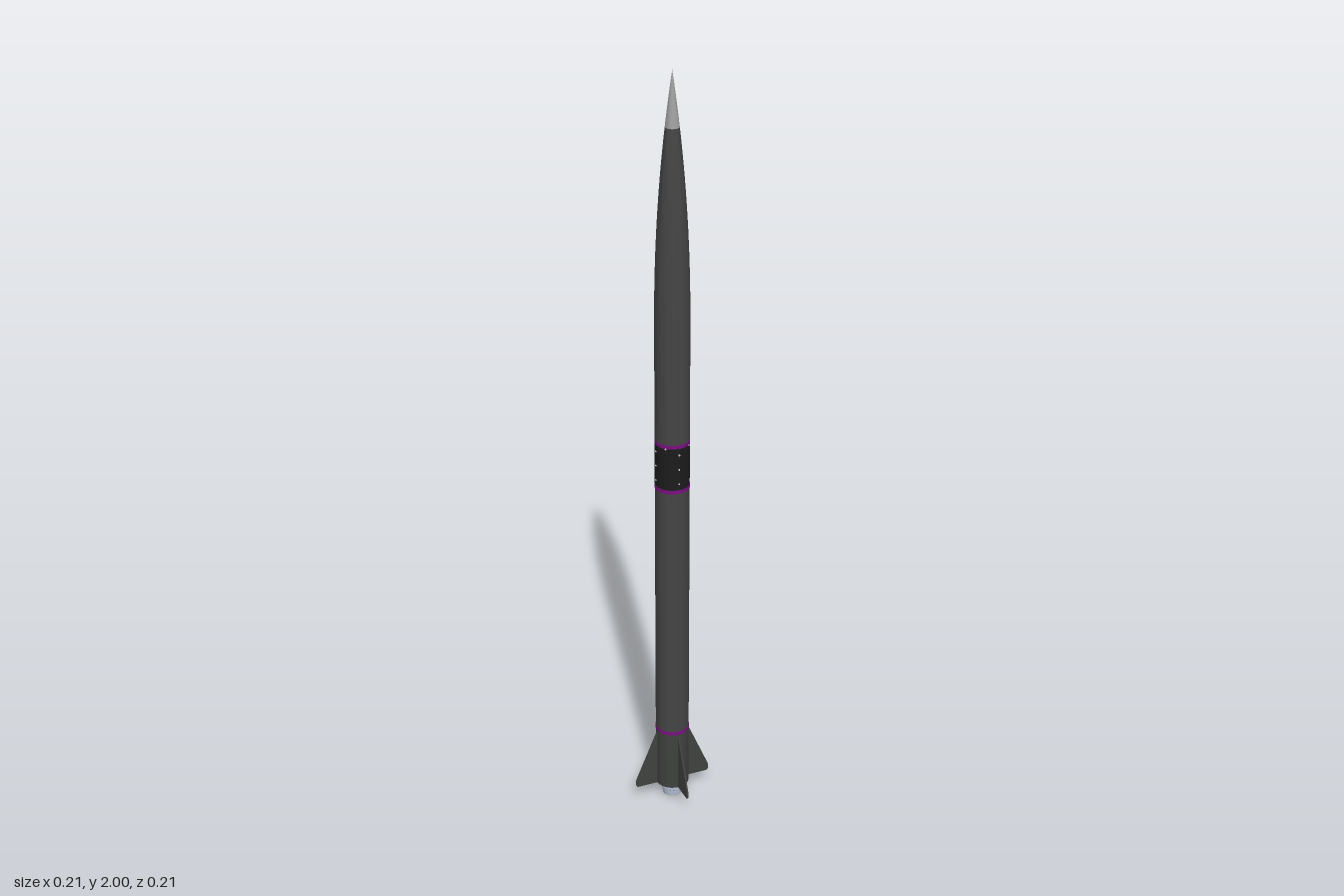
import * as THREE from 'three';
import { toCreasedNormals } from 'three/addons/utils/BufferGeometryUtils.js';

const R = 0.044;          // airframe radius
const NOSE_BASE = 1.36;   // where the nose starts to taper
const TIP_BASE = 1.865;   // where the metal tip starts

const paint = (color) => new THREE.MeshStandardMaterial({ color });

export function createModel() {
  const model = new THREE.Group();
  const mats = {
    airframe: paint(0x454545),
    band: paint(0x1c1c1c),
    fin: paint(0x404240),
    ring: paint(0x7a1080),
    metal: paint(0xa0a0a0),
    nozzle: paint(0xb8c0d4),
    screw: paint(0xcccccc),
  };

  const add = (name, geometry, material, parent = model) => {
    const mesh = new THREE.Mesh(geometry, material);
    mesh.name = name;
    parent.add(mesh);
    return mesh;
  };

  // Turned part from [radius, y] pairs listed bottom to top on the outside
  const turned = (name, profile, material) => {
    const points = profile.map(([r, y]) => new THREE.Vector2(r, y));
    return add(name, toCreasedNormals(new THREE.LatheGeometry(points, 48), 0.5), material);
  };

  // Ogive radius at a given height
  const noseRadius = (y) => {
    const t = (y - NOSE_BASE) / (2 - NOSE_BASE);
    return R * (1 - Math.pow(t, 2.15));
  };
  const nosePoints = (from, to, steps) =>
    Array.from({ length: steps + 1 }, (_, i) => {
      const y = from + ((to - from) * i) / steps;
      return [Math.max(0, noseRadius(y)), y];
    });

  // Airframe tubes, nose cone and tip
  turned('finCan', [[0, 0.04], [R, 0.04], [R, 0.21]], mats.fin);
  turned('lowerTube', [[R, 0.21], [R, 0.94]], mats.airframe);
  turned('avionicsBand', [[R, 0.94], [R, 1.065]], mats.band);
  turned('upperTube', [[R, 1.065], [R, NOSE_BASE]], mats.airframe);
  turned('noseCone', nosePoints(NOSE_BASE, TIP_BASE, 16), mats.airframe);
  turned('noseTip', nosePoints(TIP_BASE, 2, 8), mats.metal);

  // Hollow motor nozzle with a retaining collar
  turned('nozzle', [
    [0, 0.03], [0.012, 0.03], [0.02, 0], [0.025, 0], [0.028, 0.018],
    [0.03, 0.02], [0.03, 0.042],
  ], mats.nozzle);

  // Coloured joint rings
  const ringHeights = [0.215, 0.938, 1.063];
  for (const y of ringHeights) {
    const h = 0.005, r = R + 0.0006;
    turned('jointRing', [[R - 0.001, y - h], [r, y - h], [r, y + h], [R - 0.001, y + h]], mats.ring);
  }

  // Screws set radially around the airframe
  const screwGeometry = new THREE.CylinderGeometry(0.0022, 0.0026, 0.002, 10).rotateX(Math.PI / 2);
  const screwRow = (y, count, offset = 0) => {
    const row = new THREE.Group();
    row.name = 'screwRow';
    for (let i = 0; i < count; i++) {
      const a = offset + (i / count) * Math.PI * 2;
      const screw = add('screw', screwGeometry, mats.screw, row);
      screw.position.set(Math.sin(a) * (R + 0.0006), y, Math.cos(a) * (R + 0.0006));
      screw.rotation.y = a;
    }
    model.add(row);
  };
  screwRow(1.0, 4);
  screwRow(1.04, 4);
  screwRow(0.96, 4);
  screwRow(1.057, 4, Math.PI / 4);

  // Four swept fins with a rounded lower tip
  const outline = new THREE.Shape();
  outline.moveTo(R - 0.004, 0.21);
  outline.lineTo(R, 0.205);
  outline.lineTo(0.104, 0.064);
  outline.quadraticCurveTo(0.109, 0.042, 0.1, 0.041);
  outline.lineTo(R - 0.004, 0.041);
  outline.closePath();
  const thickness = 0.004;
  const finGeometry = new THREE.ExtrudeGeometry(outline, {
    depth: thickness, bevelEnabled: false, curveSegments: 8,
  }).translate(0, 0, -thickness / 2);
  for (let i = 0; i < 4; i++) {
    add('fin', finGeometry, mats.fin).rotation.y = (i * Math.PI) / 2;
  }

  return model;
}
